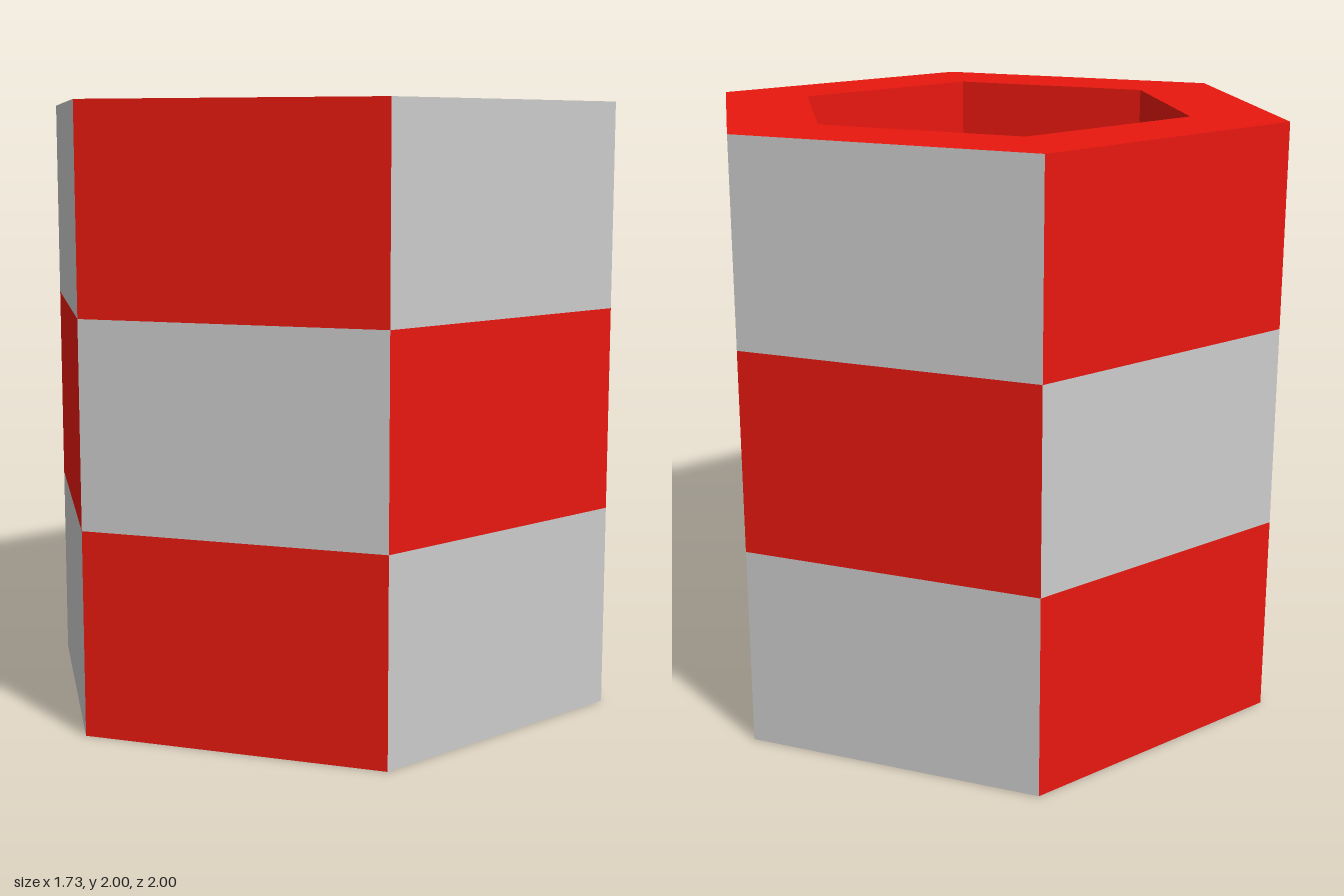
import * as THREE from 'three';

const SIDES = 6, BANDS = 3, HEIGHT = 2;
const OUTER = 1, INNER = 0.68, FLOOR = 0.32;

export function createModel() {
  const group = new THREE.Group();
  group.name = 'hexagonalPot';
  const red = new THREE.MeshStandardMaterial({ color: 0xe8180f, flatShading: true });
  const grey = new THREE.MeshStandardMaterial({ color: 0xcccccc, flatShading: true });

  const add = (name, geometry, material, y = 0) => {
    const mesh = new THREE.Mesh(geometry, material);
    mesh.name = name;
    mesh.position.y = y;
    group.add(mesh);
  };
  const hexLathe = (...points) =>
    new THREE.LatheGeometry(points.map(([r, y]) => new THREE.Vector2(r, y)), SIDES);

  // Solid underside, then the rim, cavity walls and cavity floor
  add('base', hexLathe([0, 0], [OUTER, 0]), red);
  add('rim', hexLathe([OUTER, HEIGHT], [INNER, HEIGHT]), red);
  add('cavity', hexLathe([INNER, HEIGHT], [INNER, FLOOR], [0, FLOOR]), red);

  // Outer wall: a chequer of flat panels in three bands
  const bandHeight = HEIGHT / BANDS, step = (Math.PI * 2) / SIDES;
  for (let band = 0; band < BANDS; band++) {
    for (let side = 0; side < SIDES; side++) {
      const panel = new THREE.CylinderGeometry(OUTER, OUTER, bandHeight, 1, 1, true, side * step, step);
      add('wallPanel', panel, (band + side) % 2 ? red : grey, (band + 0.5) * bandHeight);
    }
  }
  return group;
}
